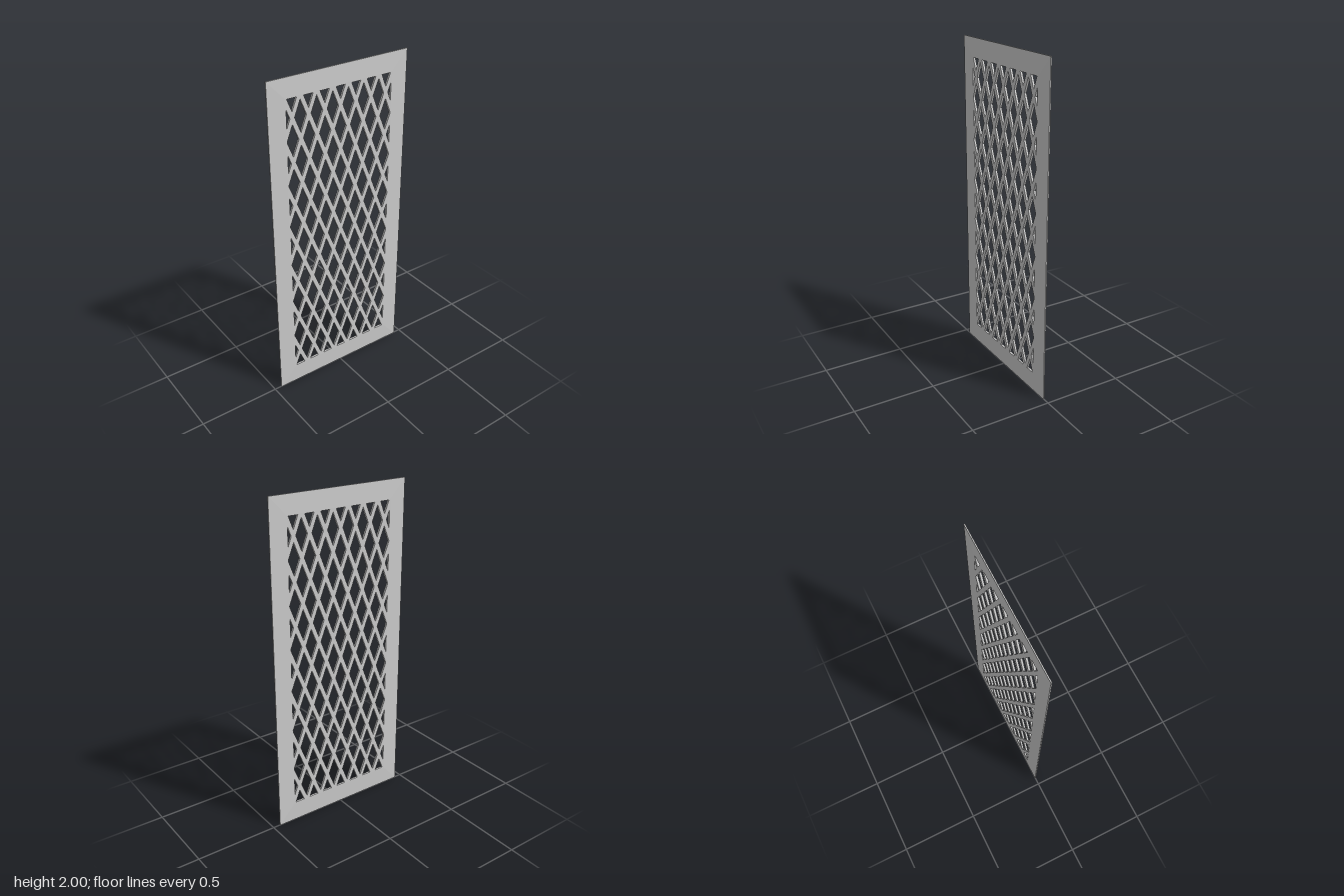
import * as THREE from 'three';

const HALF_W = 0.455, HEIGHT = 2, MID_Y = 1.003;
const OPEN_X = 0.345, OPEN_Y = 0.881;     // half size of the pierced area
const RIM = 0.006;                        // solid border around the piercings
const FACE_Z = 0.0065, EDGE_Z = 0.0035;   // half thickness inside and at the outer edge

// Cuts a convex polygon with the half plane sign * p[axis] <= limit
function clip(points, axis, sign, limit) {
  const out = [];
  points.forEach((a, i) => {
    const b = points[(i + 1) % points.length];
    const da = limit - sign * a[axis], db = limit - sign * b[axis];
    if (da >= 0) out.push(a);
    if (da * db < 0) out.push(a.clone().lerp(b, da / (da - db)));
  });
  return out;
}

// Flat slab pierced by staggered rows of diamonds, trimmed at the border
function latticeGeometry() {
  const pitchX = 0.103, pitchY = 0.1285, w = 0.0375, h = 0.094;
  const X = OPEN_X + RIM, Y = OPEN_Y + RIM;
  const slab = new THREE.Shape([[-X, -Y], [X, -Y], [X, Y], [-X, Y]].map(p => new THREE.Vector2(...p)));
  for (let row = -7; row <= 7; row++) {
    const last = row % 2 ? 3 : 3.5;
    for (let col = -last; col <= last; col++) {
      const x = col * pitchX, y = row * pitchY;
      let diamond = [[x - w, y], [x, y - h], [x + w, y], [x, y + h]].map(p => new THREE.Vector2(...p));
      for (const sign of [-1, 1]) {
        diamond = clip(diamond, 'x', sign, OPEN_X);
        diamond = clip(diamond, 'y', sign, OPEN_Y);
      }
      slab.holes.push(new THREE.Path(diamond));
    }
  }
  const geometry = new THREE.ExtrudeGeometry(slab, { depth: 2 * FACE_Z, bevelEnabled: false });
  return geometry.translate(0, MID_Y, -FACE_Z);
}

// Mitred frame, tapering on both faces towards a thin outer edge
function frameGeometry() {
  const corners = [[-1, -1], [1, -1], [1, 1], [-1, 1]];
  const inner = z => corners.map(([x, y]) => [x * (OPEN_X + RIM), MID_Y + y * (OPEN_Y + RIM), z]);
  const outer = z => corners.map(([x, y]) => [x * HALF_W, y > 0 ? HEIGHT : 0, z]);
  const rings = [inner(FACE_Z), outer(EDGE_Z), outer(-EDGE_Z), inner(-FACE_Z)];
  const positions = [];
  for (let r = 0; r < 3; r++) {
    for (let i = 0; i < 4; i++) {
      const j = (i + 1) % 4;
      const [a, b, c, d] = [rings[r][i], rings[r + 1][i], rings[r + 1][j], rings[r][j]];
      positions.push(...a, ...b, ...c, ...a, ...c, ...d);
    }
  }
  const geometry = new THREE.BufferGeometry();
  geometry.setAttribute('position', new THREE.Float32BufferAttribute(positions, 3));
  geometry.computeVertexNormals();
  return geometry;
}

export function createModel() {
  const group = new THREE.Group();
  group.name = 'latticePanel';
  const material = new THREE.MeshStandardMaterial({ color: 0xcccccc, flatShading: true });
  const add = (name, geometry) => {
    const mesh = new THREE.Mesh(geometry, material);
    mesh.name = name;
    group.add(mesh);
  };
  add('lattice', latticeGeometry());
  add('frame', frameGeometry());
  return group;
}
